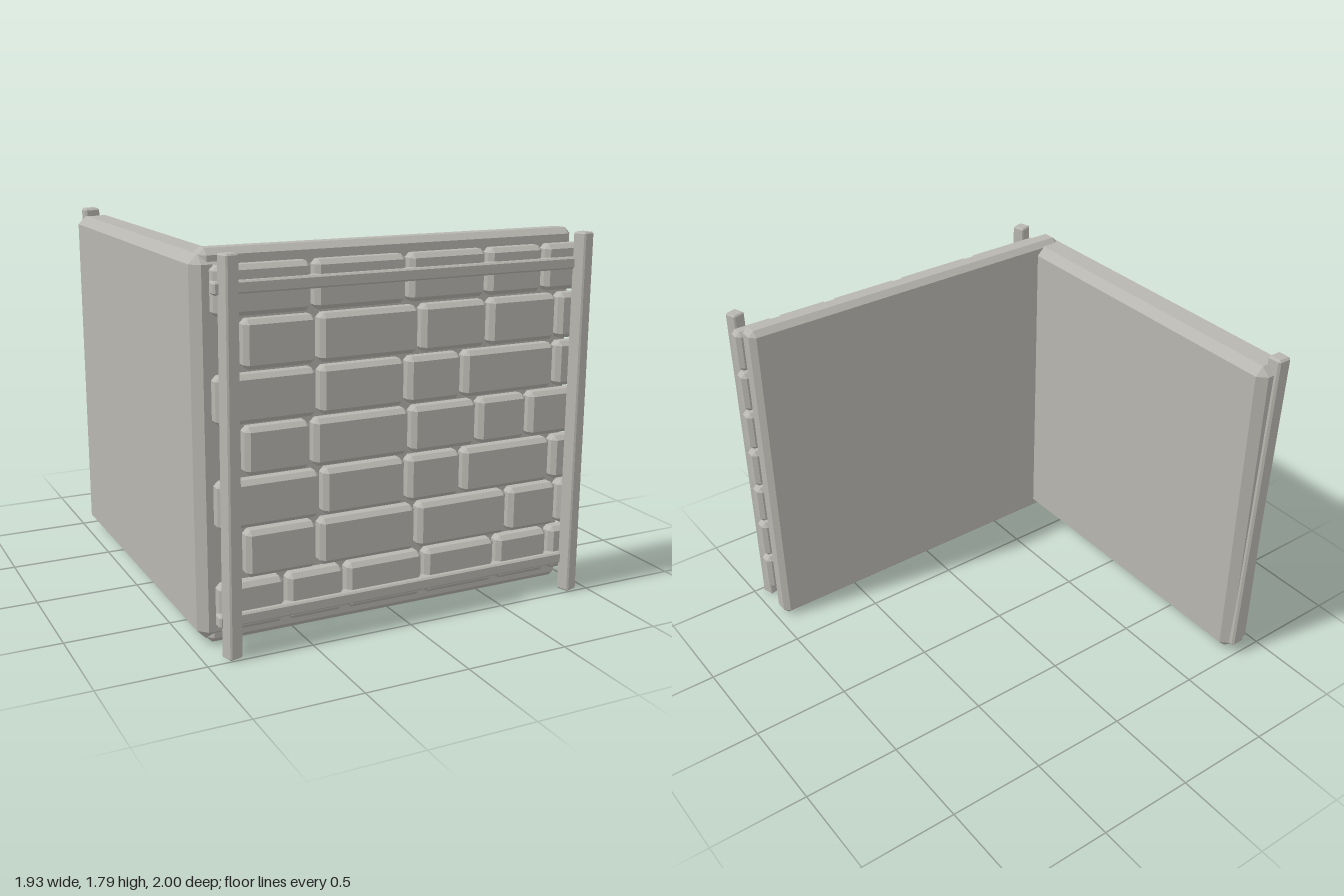
import * as THREE from 'three';
import { ConvexGeometry } from 'three/addons/geometries/ConvexGeometry.js';

// Box with every edge bevelled flat by c
function chamferBox(w, h, d, c) {
  const points = [];
  for (const sx of [-1, 1]) for (const sy of [-1, 1]) for (const sz of [-1, 1]) {
    const x = w / 2, y = h / 2, z = d / 2;
    points.push(
      new THREE.Vector3(sx * x, sy * (y - c), sz * (z - c)),
      new THREE.Vector3(sx * (x - c), sy * y, sz * (z - c)),
      new THREE.Vector3(sx * (x - c), sy * (y - c), sz * z));
  }
  return new ConvexGeometry(points);
}

export function createModel() {
  const model = new THREE.Group();
  model.name = 'cornerWall';
  const stone = new THREE.MeshStandardMaterial({ color: 0xb8b6b0 });
  stone.name = 'stone grey';

  // Adds a bevelled block spanning the given ranges
  function block(name, [x0, x1], [y0, y1], [z0, z1], c, parent = model) {
    const mesh = new THREE.Mesh(chamferBox(x1 - x0, y1 - y0, z1 - z0, c), stone);
    mesh.position.set((x0 + x1) / 2, (y0 + y1) / 2, (z0 + z1) / 2);
    mesh.name = name;
    parent.add(mesh);
    return mesh;
  }

  // Two slabs meeting at the corner
  block('frontWall', [-0.925, 0.957], [0.015, 1.78], [0.695, 0.812], 0.028);
  block('sideWall', [-0.967, -0.775], [0.037, 1.757], [-0.977, 0.822], 0.042);

  // Staggered brick courses, top to bottom: joints between the two ends
  const courses = [
    [-0.915, -0.455, 0.005, 0.415, 0.725, 0.975],
    [-0.786, -0.432, 0.072, 0.43, 0.812, 0.975],
    [-0.915, -0.43, 0.005, 0.3, 0.812, 0.975],
    [-0.786, -0.46, 0.03, 0.388, 0.667, 0.975],
    [-0.915, -0.414, 0.015, 0.31, 0.812, 0.975],
    [-0.786, -0.43, 0.072, 0.574, 0.86, 0.975],
    [-0.915, -0.59, -0.295, 0.114, 0.512, 0.817, 0.975],
  ];
  const bricks = new THREE.Group();
  bricks.name = 'bricks';
  model.add(bricks);
  courses.forEach((joints, row) => {
    const top = 1.72 - row * 0.2325;
    for (let i = 0; i < joints.length - 1; i++) {
      block('brick', [joints[i] + 0.01, joints[i + 1] - 0.01],
        [top - 0.215, top], [0.837, 0.922], 0.021, bricks);
    }
  });

  // Horizontal rails across the bricks
  for (const y of [0.172, 1.632]) {
    block('rail', [-0.92, 0.935], [y - 0.028, y + 0.028], [0.888, 0.947], 0.008);
  }

  // Twisted front posts
  for (const [x, lean] of [[-0.864, -0.006], [0.91, 0]]) {
    const post = block('frontPost', [x - 0.034, x + 0.034], [0.01, 1.777], [0.922, 0.99], 0.007);
    post.rotation.set(0, 0.3, lean);
  }

  // Slightly leaning post on the free end of the side wall
  const rearPost = block('rearPost', [-0.909, -0.831], [0.075, 1.797], [-1, -0.922], 0.01);
  rearPost.rotation.z = 0.025;

  return model;
}
